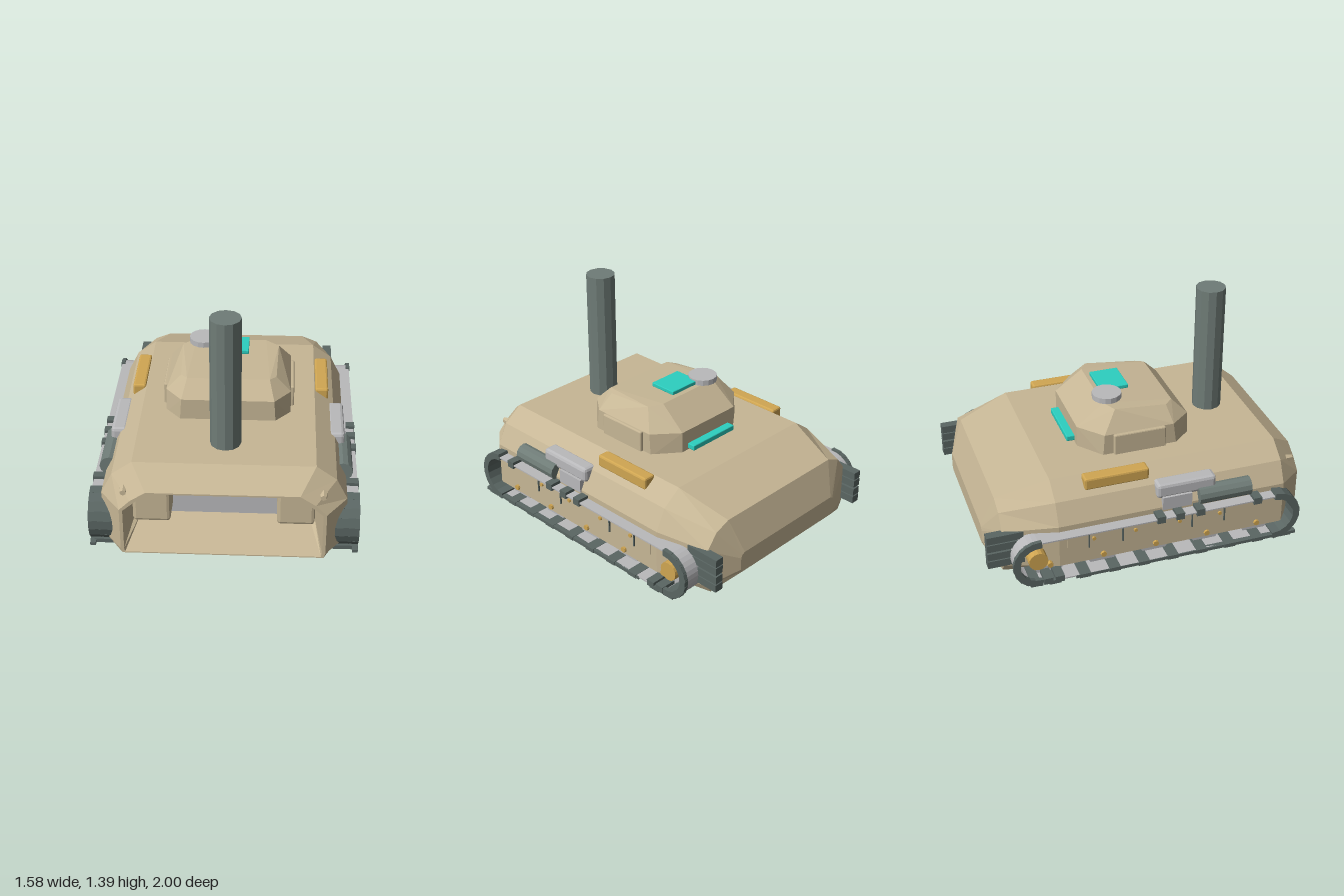
import * as THREE from 'three';
import { RoundedBoxGeometry } from 'three/addons/geometries/RoundedBoxGeometry.js';
import { ConvexGeometry } from 'three/addons/geometries/ConvexGeometry.js';

const mat = (name, color, flat = true) => {
  const m = new THREE.MeshStandardMaterial({ color, flatShading: flat });
  m.name = name;
  return m;
};
const tan = mat('tan armour', 0xc6b695);
const gray = mat('light gray metal', 0xb9b9bb);
const steel = mat('steel green', 0x6f7c77);
const dark = mat('dark track', 0x5a6663);
const gold = mat('gold', 0xd0a652);
const teal = mat('teal', 0x2ccfc0);
gray.side = THREE.DoubleSide;

// Right half of an outline [x, y] bottom to top, mirrored into a closed ring at depth z
const ring = (z, half) => [
  ...half.map(([x, y]) => [x, y, z]),
  ...[...half].reverse().map(([x, y]) => [-x, y, z]),
];

// Skin between successive rings, with a cap on the last one
function loft(rings) {
  const pos = [];
  const tri = (...p) => p.forEach((v) => pos.push(...v));
  for (let r = 0; r < rings.length - 1; r++) {
    const a = rings[r], b = rings[r + 1], n = a.length;
    for (let i = 0; i < n; i++) {
      const j = (i + 1) % n;
      tri(a[i], b[i], a[j]);
      tri(b[i], b[j], a[j]);
    }
  }
  const e = rings[rings.length - 1];
  for (let i = 1; i < e.length - 1; i++) tri(e[0], e[i + 1], e[i]);
  const g = new THREE.BufferGeometry();
  g.setAttribute('position', new THREE.Float32BufferAttribute(pos, 3));
  g.computeVertexNormals();
  return g;
}

export function createModel() {
  const model = new THREE.Group();
  model.name = 'trackedVehicle';
  const add = (name, geo, m, x = 0, y = 0, z = 0, parent = model) => {
    const mesh = new THREE.Mesh(geo, m);
    mesh.name = name;
    mesh.position.set(x, y, z);
    parent.add(mesh);
    return mesh;
  };
  // Box given by its extents, optionally with rounded edges
  const box = (name, m, [x0, x1], [y0, y1], [z0, z1], r = 0, parent = model) => {
    const s = [x1 - x0, y1 - y0, z1 - z0];
    const g = r ? new RoundedBoxGeometry(...s, 1, r) : new THREE.BoxGeometry(...s);
    return add(name, g, m, (x0 + x1) / 2, (y0 + y1) / 2, (z0 + z1) / 2, parent);
  };

  // Hull: cavity walls, front rim, then the outer skin to the tail
  const inner = [[0.5, 0.115], [0.53, 0.13], [0.53, 0.34], [0.47, 0.4], [0.41, 0.445]];
  const body = [[0.66, 0.03], [0.715, 0.07], [0.715, 0.35], [0.65, 0.48], [0.53, 0.567]];
  add('hull', loft([
    ring(0.7, inner),
    ring(1, [[0.57, 0.037], [0.575, 0.06], [0.575, 0.33], [0.5, 0.395], [0.425, 0.45]]),
    ring(1, [[0.585, 0.03], [0.595, 0.06], [0.595, 0.335], [0.53, 0.4], [0.44, 0.46]]),
    ring(0.85, body),
    ring(-0.58, body),
    ring(-0.9, [[0.6, 0.035], [0.63, 0.09], [0.63, 0.33], [0.56, 0.42], [0.46, 0.46]]),
    ring(-0.98, [[0.41, 0.12], [0.43, 0.14], [0.43, 0.22], [0.42, 0.24], [0.4, 0.25]]),
  ]), tan);

  // Front bay back wall
  const wall = new THREE.Shape(ring(0, inner).map(([x, y]) => new THREE.Vector2(x, y)));
  add('bayWall', new THREE.ShapeGeometry(wall), gray, 0, 0, 0.702);

  // Turret with chamfered corners and a roof that rises to the rear
  const pts = [];
  for (const s of [-1, 1]) {
    for (const [x, y, z] of [
      [0.38, 0.55, 0.27], [0.38, 0.55, -0.2], [0.29, 0.55, 0.375], [0.23, 0.55, -0.32],
      [0.38, 0.7, 0.25], [0.38, 0.7, -0.19], [0.28, 0.7, 0.375], [0.23, 0.7, -0.32],
      [0.29, 0.79, 0.23], [0.25, 0.797, 0.28], [0.3, 0.823, -0.1], [0.22, 0.832, -0.15],
    ]) pts.push(new THREE.Vector3(s * x, y, z));
  }
  add('turret', new ConvexGeometry(pts), tan);

  // Roof fittings and stack
  add('stack', new THREE.CylinderGeometry(0.092, 0.092, 0.85, 12), steel, 0, 0.965, 0.62);
  add('roofDisc', new THREE.CylinderGeometry(0.09, 0.09, 0.035, 16), gray, -0.17, 0.857, -0.11);
  box('roofPanel', teal, [-0.11, 0.115], [0.84, 0.865], [-0.13, 0.05], 0.004);
  box('rearLight', teal, [-0.18, 0.18], [0.575, 0.61], [-0.37, -0.3], 0.005);

  // Closed running belt in the side plane: two straight runs and two round ends
  const stadium = (r) => {
    const p = new THREE.Path();
    p.absarc(0.77, 0.17, r, -Math.PI / 2, Math.PI / 2, false);
    p.absarc(-0.72, 0.17, r, Math.PI / 2, Math.PI * 1.5, false);
    p.closePath();
    return p.getPoints(8);
  };
  const beltShape = new THREE.Shape(stadium(0.146));
  beltShape.holes.push(new THREE.Path(stadium(0.138)));
  const beltGeo = new THREE.ExtrudeGeometry(beltShape, { depth: 0.175, bevelEnabled: false });

  // One side built at +x, then repeated at -x
  for (const s of [1, -1]) {
    const side = new THREE.Group();
    side.name = s > 0 ? 'leftSide' : 'rightSide';
    model.add(side);
    const span = (a, b) => (s > 0 ? [a, b] : [-b, -a]);
    const sbox = (name, m, x, y, z, r) => box(name, m, span(...x), y, z, r, side);
    const disc = (name, m, r, x0, x1, y, z, n = 12) => {
      const d = add(name, new THREE.CylinderGeometry(r, r, x1 - x0, n), m, s * (x0 + x1) / 2, y, z, side);
      d.rotation.z = Math.PI / 2;
      return d;
    };

    // Bay lockers, turret cheeks and stowage
    sbox('bayLocker', tan, [0.31, 0.53], [0.185, 0.435], [0.69, 0.9], 0.02);
    sbox('turretCheek', tan, [0.34, 0.4], [0.55, 0.7], [-0.135, 0.195], 0.008);
    sbox('goldCase', gold, [0.535, 0.617], [0.498, 0.577], [-0.39, 0.01], 0.012);
    sbox('grayCase', gray, [0.61, 0.71], [0.405, 0.5], [0.03, 0.405], 0.02);
    sbox('grayCaseBracket', gray, [0.63, 0.725], [0.335, 0.42], [0.06, 0.245]);
    const drum = add('drum', new THREE.CylinderGeometry(0.06, 0.06, 0.335, 12), steel, s * 0.695, 0.378, 0.457, side);
    drum.rotation.x = Math.PI / 2;
    const lamp = add('headlamp', new THREE.CylinderGeometry(0.018, 0.03, 0.05, 6), tan, s * 0.572, 0.43, 0.94, side);
    lamp.rotation.x = Math.PI / 2;

    // Belt, wheels and hubs
    const belt = add('belt', beltGeo, gray, 0, 0, 0, side);
    belt.rotation.y = -Math.PI / 2;
    belt.scale.z = 1;
    belt.position.x = s > 0 ? 0.785 : -0.61;
    for (const z of [0.68, 0.35, 0.02, -0.31, -0.64]) {
      disc('roadWheel', gray, 0.1, 0.58, 0.69, 0.1, z, 16);
      disc('wheelBolt', gold, 0.018, 0.7, 0.73, 0.1, z, 8);
    }
    for (const z of [0.43, 0.17, -0.11, -0.37]) disc('panelBolt', gold, 0.012, 0.7, 0.73, 0.23, z, 8);
    disc('driveHub', gold, 0.058, 0.66, 0.765, 0.17, -0.72, 16);

    // Side skirt panel and its rods
    sbox('sidePanel', tan, [0.712, 0.719], [0.17, 0.315], [-0.53, 0.46]);
    for (const z of [0.46, 0.25, -0.19, -0.4]) sbox('rod', dark, [0.712, 0.728], [0.17, 0.31], [z - 0.004, z + 0.004]);
    for (const z of [0.46, -0.4]) disc('rodHead', dark, 0.013, 0.71, 0.74, 0.295, z, 8);

    // Track links: loose upper ones, ground run, and the front bend
    for (const z of [0.65, 0.28, 0.15, 0.03]) sbox('topLink', dark, [0.64, 0.79], [0.29, 0.335], [z - 0.026, z + 0.026]);
    for (let i = 0; i < 9; i++) {
      const z = 0.85 - i * 0.185;
      sbox('groundLink', dark, [0.49, 0.79], [0.008, 0.034], [z - 0.035, z + 0.035]);
    }
    sbox('groundRail', dark, [0.755, 0.788], [0.012, 0.032], [-0.5, 0.92]);
    const bend = (z, r, a, x0, x1) => {
      const link = sbox('bendLink', dark, [x0, x1], [-0.021, 0.021], [-0.03, 0.03]);
      const t = THREE.MathUtils.degToRad(a);
      link.position.y = 0.17 + r * Math.sin(t);
      link.position.z = z + r * Math.cos(t);
      link.rotation.x = Math.PI / 2 - t;
    };
    for (let a = 80; a >= -80; a -= 20) bend(0.77, 0.143, a, 0.63, 0.79);
    for (let a = 95; a <= 265; a += 17) bend(-0.72, 0.135, a, 0.765, 0.79);

    // Rear link stack and the lowest rear links
    for (const y of [0.14, 0.195, 0.255, 0.31]) sbox('rearLink', dark, [0.612, 0.668], [y - 0.024, y + 0.024], [-1, -0.78]);
    for (const z of [-0.6, -0.67, -0.75]) sbox('rearGroundLink', dark, [0.55, 0.79], [0.015, 0.055], [z - 0.028, z + 0.028]);
  }
  return model;
}
